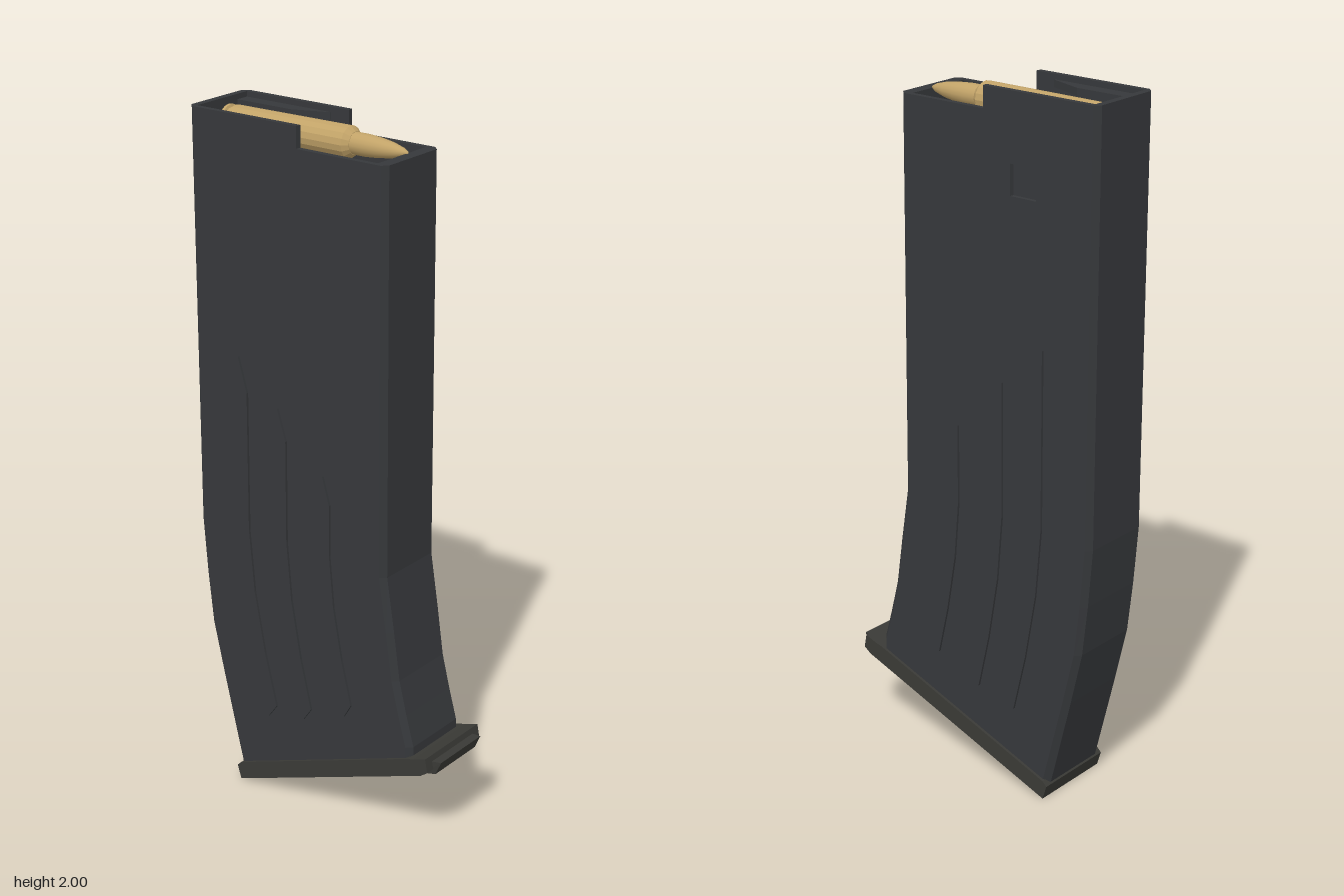
import * as THREE from 'three';

const dark = new THREE.MeshStandardMaterial({ color: 0x36383b, flatShading: true, side: THREE.DoubleSide });
const plateMat = new THREE.MeshStandardMaterial({ color: 0x3a3a36, flatShading: true });
const brass = new THREE.MeshStandardMaterial({ color: 0xc2a368, flatShading: true });
const brassSmooth = new THREE.MeshStandardMaterial({ color: 0xc2a368 });

// Side profile edges as [z, y], curving forward towards the base
const frontEdge = [[0.235, 1.94], [0.24, 0.8], [0.265, 0.64], [0.285, 0.5], [0.31, 0.4], [0.335, 0.31], [0.335, 0.27]];
const backEdge = [[-0.282, 0.05], [-0.292, 0.09], [-0.348, 0.32], [-0.385, 0.48], [-0.402, 0.63], [-0.416, 0.8], [-0.42, 2]];

const path = (pts, Kind = THREE.Shape) => new Kind(pts.map(([z, y]) => new THREE.Vector2(-z, y)));

// Extrudes a [z, y] outline across x, from x0 to x1
function slab(pts, x0, x1, holes = []) {
  const shape = path(pts);
  shape.holes = holes.map(h => path(h, THREE.Path));
  const geo = new THREE.ExtrudeGeometry(shape, { depth: x1 - x0, bevelEnabled: false });
  return geo.rotateY(Math.PI / 2).translate(x0, 0, 0);
}

function reshape(geo, rule) {
  const p = geo.attributes.position, v = new THREE.Vector3();
  for (let i = 0; i < p.count; i++) {
    rule(v.fromBufferAttribute(p, i));
    p.setXYZ(i, v.x, v.y, v.z);
  }
  geo.computeVertexNormals();
  return geo;
}

function add(group, name, geo, mat = dark) {
  const mesh = new THREE.Mesh(geo, mat);
  mesh.name = name;
  group.add(mesh);
  return mesh;
}

function box(x0, x1, y0, y1, z0, z1) {
  return new THREE.BoxGeometry(x1 - x0, y1 - y0, z1 - z0)
    .translate((x0 + x1) / 2, (y0 + y1) / 2, (z0 + z1) / 2);
}

export function createModel() {
  const model = new THREE.Group();
  model.name = 'magazine';

  // Core: front wall, inner floor and back wall
  add(model, 'bodyCore', slab([
    ...frontEdge, ...backEdge, [-0.4, 2], [-0.4, 1.8], [0.2, 1.8], [0.2, 1.94],
  ], -0.102, 0.102));

  // Side walls with stepped top and chamfered outer corners
  const wall = [...frontEdge, ...backEdge, [-0.05, 2], [-0.05, 1.94]];
  const catchHole = [[-0.145, 1.725], [-0.145, 1.81], [-0.235, 1.81], [-0.235, 1.725]];
  const chamfer = v => {
    if (Math.abs(v.x) < 0.11) return;
    const c = -0.09 + 0.115 * Math.max(0, (0.8 - v.y) / 0.55) ** 1.6;
    v.z = c + (v.z - c) * 0.952;
  };
  add(model, 'leftWall', reshape(slab(wall, 0.102, 0.118, [catchHole]), chamfer));
  add(model, 'rightWall', reshape(slab(wall, -0.118, -0.102), chamfer));
  add(model, 'catchRecess', box(0.095, 0.106, 1.715, 1.82, -0.245, -0.135));

  // Raised curved ribs on both sides: [front z, front top, back z, back top, lower shift, bottom y]
  const ribs = [
    [0.058, 0.97, 0.035, 1.05, 0.075, 0.34],
    [-0.092, 1.12, -0.12, 1.21, 0.083, 0.28],
    [-0.227, 1.23, -0.256, 1.33, 0.092, 0.25],
  ];
  for (const side of [-1, 1]) {
    for (const [zf, topF, zb, topB, shift, low] of ribs) {
      const bend = (z, end) => [0, 0.35, 0.7, 1].map(t => [z + shift * t ** 1.6, 0.82 + (end - 0.82) * t]);
      const outline = [[zf, topF], ...bend(zf, low + 0.04), ...bend(zb, low).reverse(), [zb, topB]];
      const geo = side > 0 ? slab(outline, 0.112, 0.125) : slab(outline, -0.125, -0.112);
      add(model, 'sideRib', geo);
    }
  }

  // Feed lips, narrowing the opening at the back
  for (const s of [-1, 1]) {
    const lip = new THREE.Shape([
      [0.105, 0.4], [0.062, 0.4], [0.062, 0.215], [0.1, 0.11], [0.105, 0.11],
    ].map(([x, y]) => new THREE.Vector2(s * x, y)));
    const geo = new THREE.ExtrudeGeometry(lip, { depth: 0.02, bevelEnabled: false });
    add(model, 'feedLip', geo.rotateX(-Math.PI / 2).translate(0, 1.965, 0));
  }

  // Stepped follower under the cartridge
  add(model, 'followerRight', box(-0.1, -0.01, 1.79, 1.89, -0.398, 0.03));
  add(model, 'followerLeft', box(-0.03, 0.098, 1.79, 1.87, -0.398, 0.115));

  // Cartridge lying along z
  const cartridge = new THREE.Group();
  cartridge.name = 'cartridge';
  cartridge.position.set(0.02, 1.941, 0);
  const turned = (pts, n) => new THREE.LatheGeometry(pts.map(p => new THREE.Vector2(...p)), n).rotateX(Math.PI / 2);
  add(cartridge, 'case', turned([
    [0, -0.395], [0.041, -0.395], [0.041, -0.387], [0.034, -0.384], [0.034, -0.378],
    [0.042, -0.37], [0.044, 0.02], [0.031, 0.036], [0, 0.036],
  ], 16), brass);
  add(cartridge, 'bullet', turned([
    [0.03, 0.03], [0.03, 0.075], [0.027, 0.115], [0.021, 0.155], [0.012, 0.188], [0.004, 0.203], [0, 0.205],
  ], 16), brassSmooth);
  model.add(cartridge);

  // Sloping floor plate with clipped corners and a front tab
  const floor = slab([
    [0.392, 0.302], [0.4, 0.262], [0.378, 0.246], [-0.272, 0.003], [-0.285, 0.045],
    [-0.272, 0.058], [0.335, 0.284], [0.35, 0.287],
  ], -0.126, 0.126);
  add(model, 'floorPlate', floor, plateMat);
  add(model, 'floorPlateTab', reshape(box(-0.1, 0.1, 0.247, 0.288, 0.37, 0.424), v => {
    v.y -= (v.z > 0.4 ? 0 : 0.006);
    if (v.z > 0.4) v.x *= 0.95;
    if (v.z > 0.4 && v.y < 0.26) v.z -= 0.018;
  }), plateMat);

  return model;
}
